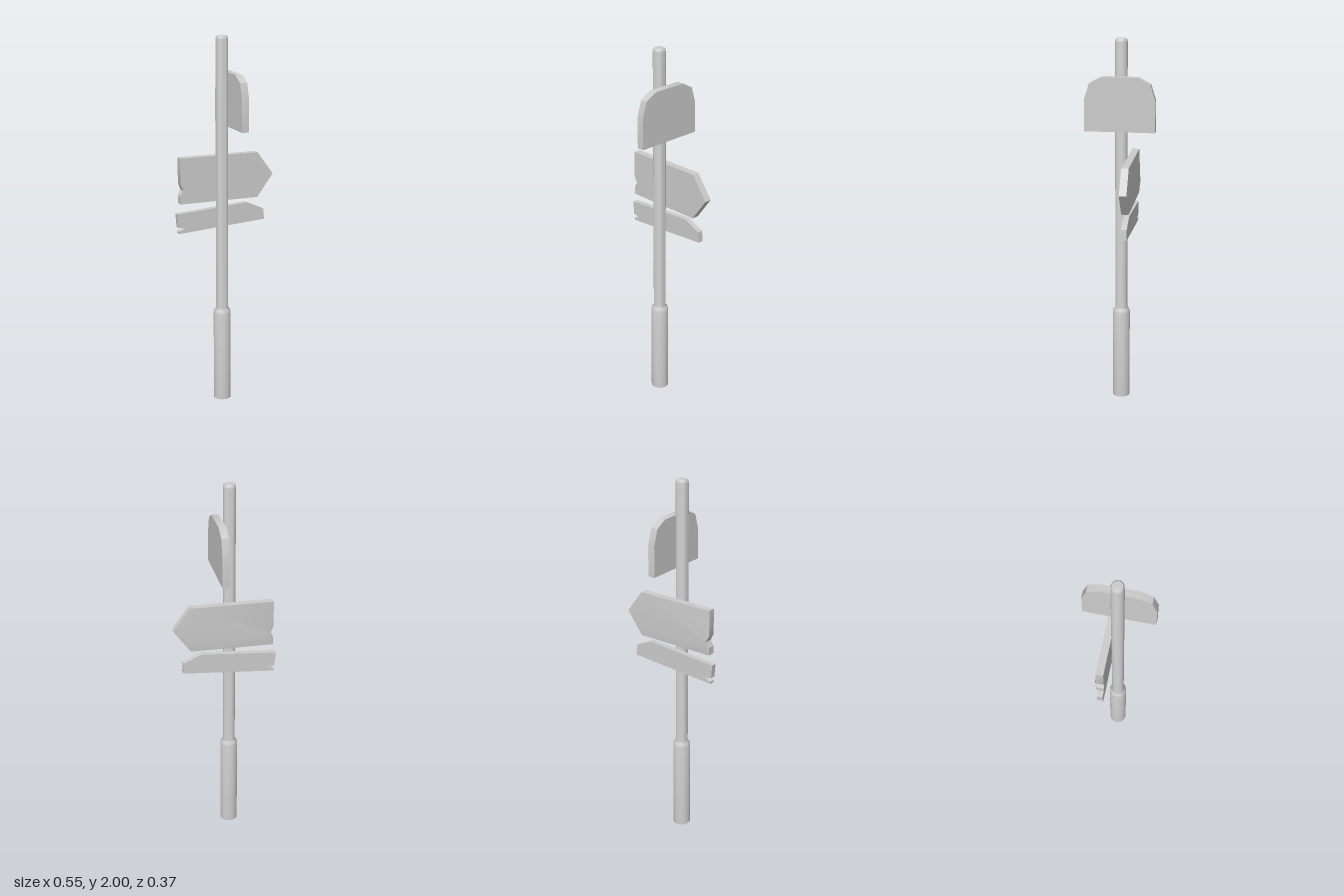
import * as THREE from 'three';
import { toCreasedNormals } from 'three/addons/utils/BufferGeometryUtils.js';

const material = new THREE.MeshStandardMaterial({ color: 0xcccccc });

// Flat board from a counter-clockwise outline, its faces fanned from the first point.
// bulge pushes that first point further out at the back.
function board(name, outline, front, back, bulge = 0) {
  const f = outline.map(([x, y]) => [x, y, front]);
  const b = outline.map(([x, y], i) => [x, y, i ? back : back - bulge]);
  const n = outline.length;
  const pos = [];
  const tri = (...corners) => corners.forEach((c) => pos.push(...c));
  for (let i = 1; i < n - 1; i++) {
    tri(f[0], f[i], f[i + 1]);
    tri(b[0], b[i + 1], b[i]);
  }
  for (let i = 0; i < n; i++) {
    const j = (i + 1) % n;
    tri(f[i], b[i], b[j]);
    tri(f[i], b[j], f[j]);
  }
  const geometry = new THREE.BufferGeometry();
  geometry.setAttribute('position', new THREE.Float32BufferAttribute(pos, 3));
  const mesh = new THREE.Mesh(toCreasedNormals(geometry, 0.5), material);
  mesh.name = name;
  return mesh;
}

export function createModel() {
  const group = new THREE.Group();
  group.name = 'signpost';

  // Post: thick sleeve, sloped shoulder, thin pole and rounded tip, open underneath
  const profile = [
    [0.047, 0], [0.047, 0.5], [0.045, 0.509], [0.034, 0.522], [0.033, 0.53],
    [0.033, 1.98], [0.031, 1.99], [0.025, 1.997], [0, 2],
  ].map(([r, y]) => new THREE.Vector2(r, y));
  const postMaterial = material.clone();
  postMaterial.side = THREE.DoubleSide;
  const post = new THREE.Mesh(
    toCreasedNormals(new THREE.LatheGeometry(profile, 24), 0.6), postMaterial);
  post.name = 'post';
  post.position.x = -0.036;
  group.add(post);

  // Top sign: chamfered arch facing sideways
  const topSign = board('topSign', [
    [-0.186, 1.52], [0.186, 1.52], [0.186, 1.685], [0.16, 1.77],
    [0.095, 1.805], [-0.095, 1.805], [-0.16, 1.77], [-0.186, 1.685],
  ], 0.038, -0.001);
  topSign.rotation.y = Math.PI / 2;
  group.add(topSign);

  // Arrow sign: pointed end, chipped and slightly warped at the other
  group.add(board('arrowSign', [
    [-0.243, 1.19], [-0.26, 1.16], [-0.26, 1.118], [0.182, 1.118],
    [0.272, 1.241], [0.182, 1.365], [-0.26, 1.365], [-0.26, 1.225],
  ], -0.029, -0.068, 0.009));

  // Lower sign: tilted narrow plank with a split end
  group.add(board('lowerSign', [
    [-0.23, 0.984], [-0.269, 0.968], [-0.267, 0.956], [0.225, 0.99],
    [0.22, 1.048], [0.124, 1.092], [-0.278, 1.064], [-0.272, 0.99],
  ], -0.033, -0.063));

  return group;
}
